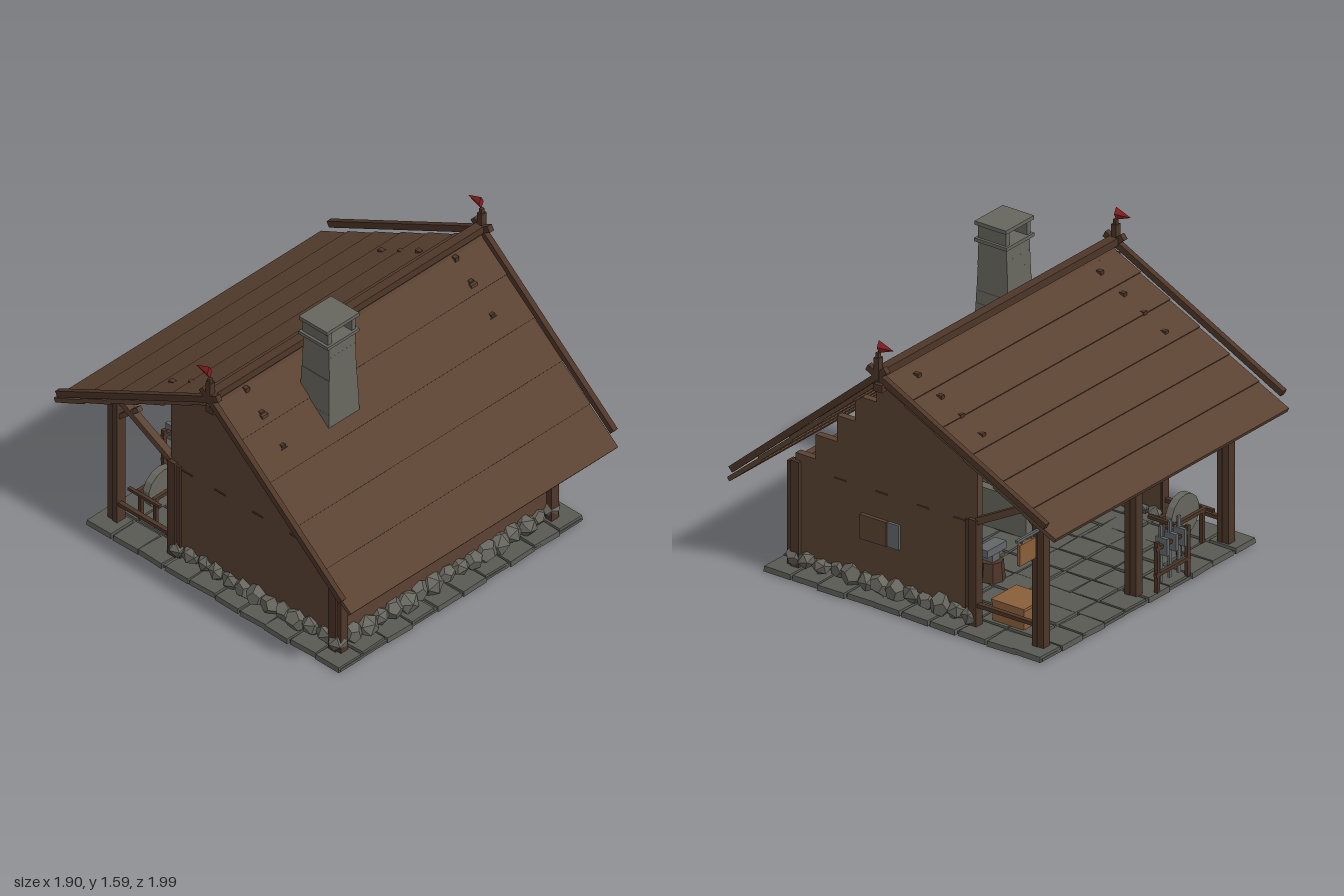
import * as THREE from 'three';

const paint = (name, color) => {
  const m = new THREE.MeshStandardMaterial({ color, flatShading: true });
  m.name = name;
  return m;
};

export function createModel() {
  const model = new THREE.Group();
  model.name = 'workshopHut';
  const wood = paint('brown wood', 0x5a4232);
  const darkWood = paint('dark wood', 0x4d3628);
  const tan = paint('tan wood', 0x8a5f3a);
  const stone = paint('grey stone', 0x67665e);
  const slate = paint('floor stone', 0x5a5a54);
  const iron = paint('iron', 0x62676a);
  const red = paint('red', 0x8c1f24);

  let seed = 7;
  const rnd = () => (seed = (seed * 16807) % 2147483647) / 2147483647;
  const jit = a => (rnd() - 0.5) * 2 * a;

  const add = (name, geo, mat, x, y, z) => {
    const m = new THREE.Mesh(geo, mat);
    m.name = name;
    m.position.set(x, y, z);
    model.add(m);
    return m;
  };
  const box = (name, mat, w, h, d, x, y, z) =>
    add(name, new THREE.BoxGeometry(w, h, d), mat, x, y, z);
  // straight timber between two points
  const beam = (name, mat, p, q, w, h) => {
    const a = new THREE.Vector3(...p), b = new THREE.Vector3(...q);
    const c = a.clone().add(b).multiplyScalar(0.5);
    const m = box(name, mat, w, h, a.distanceTo(b), c.x, c.y, c.z);
    m.lookAt(b);
    return m;
  };

  // paved floor
  box('floorBed', slate, 1.66, 0.014, 1.68, 0, 0.011, 0);
  const n = 10, step = 1.69 / n;
  for (let i = 0; i < n; i++) for (let j = 0; j < n; j++) {
    const g = new THREE.CylinderGeometry(0.68, 0.707, 0.028, 4);
    g.rotateY(Math.PI / 4);
    const t = add('floorTile', g, slate,
      (i - n / 2 + 0.5) * step + jit(0.006), 0.016 + jit(0.002), (j - n / 2 + 0.5) * step + jit(0.008));
    t.scale.set(step * (0.96 + jit(0.05)), 1, step * (0.96 + jit(0.05)));
    t.rotation.y = jit(0.05);
  }

  // rough foundation stones along three walls
  const rock = (x, z) => {
    const r = 0.056 + jit(0.009);
    const g = rnd() > 0.5 ? new THREE.DodecahedronGeometry(r) : new THREE.IcosahedronGeometry(r);
    const m = add('foundationStone', g, stone, x, 0.078 + jit(0.008), z);
    m.rotation.set(rnd() * 6, rnd() * 6, rnd() * 6);
    m.scale.set(1.1, 0.95, 1.1);
  };
  for (let i = 0; i < 17; i++) rock(-0.73 + i * 1.46 / 16, 0.73 + jit(0.012));
  for (const s of [-1, 1])
    for (let i = 0; i < 12; i++) rock(s * (0.73 + jit(0.012)), 0.65 - i * 0.09);

  // side walls with stepped gable, shape coordinates are (z, y)
  const gable = [[-0.38, 0.1], [-0.38, 1.0], [0.02, 1.21], [0.07, 1.24], [0.12, 1.17], [0.23, 1.17],
    [0.23, 1.04], [0.36, 1.04], [0.36, 0.9], [0.47, 0.9], [0.47, 0.76], [0.6, 0.76],
    [0.6, 0.63], [0.72, 0.63], [0.72, 0.1]];
  const gableShape = new THREE.Shape(gable.map(p => new THREE.Vector2(...p)));
  const wallGeo = new THREE.ExtrudeGeometry(gableShape, { depth: 0.04, bevelEnabled: false });
  wallGeo.rotateY(-Math.PI / 2);
  for (const s of [-1, 1]) {
    add('sideWall', wallGeo, wood, s * 0.72 + 0.02, 0, 0);
    for (const z of [0.45, 0.2, -0.05, -0.27])
      box('wallSeam', darkWood, 0.006, 0.007, 0.07, s * 0.742, 0.565, z);
  }
  box('frontWall', wood, 1.44, 0.5, 0.04, 0, 0.35, 0.71);

  // sliding shutter on the left wall
  box('shutter', wood, 0.02, 0.13, 0.16, 0.755, 0.365, 0.235);
  box('windowPane', iron, 0.014, 0.13, 0.07, 0.751, 0.365, 0.118);

  // corner posts made of paired timbers, and porch frame
  for (const s of [-1, 1]) {
    for (const z of [0.725, -0.35]) {
      box('cornerPost', darkWood, 0.05, 0.565, 0.05, s * 0.735, 0.31, z - 0.012);
      box('cornerPost', darkWood, 0.05, 0.55, 0.04, s * 0.725, 0.305, z + 0.02);
    }
    beam('porchSideBeam', wood, [s * 0.73, 0.585, -0.38], [s * 0.73, 0.78, -0.75], 0.04, 0.035);
    beam('kneeBrace', wood, [s * 0.73, 0.77, -0.6], [s * 0.73, 0.66, -0.73], 0.03, 0.025);
    beam('lowRail', darkWood, [s * 0.74, 0.14, -0.38], [s * 0.74, 0.14, -0.75], 0.025, 0.02);
    beam('rafter', darkWood, [s * 0.72, 1.225, 0.06], [s * 0.72, 0.73, -0.9], 0.04, 0.03);
  }
  for (const x of [-0.73, 0, 0.73]) {
    box('porchPost', darkWood, 0.05, 0.79, 0.05, x, 0.42, -0.765);
    box('porchPost', darkWood, 0.06, 0.77, 0.03, x, 0.41, -0.738);
  }
  box('eaveBeam', darkWood, 1.56, 0.045, 0.07, 0, 0.79, -0.755);
  box('ridgeBeam', darkWood, 1.88, 0.04, 0.05, 0, 1.235, 0.07);

  // plank roof: each course lies slightly proud of the one below
  const slope = (top, low, count) => {
    const at = (t, lift) => [0, top[1] + (low[1] - top[1]) * t + lift, top[0] + (low[0] - top[0]) * t];
    for (let i = 0; i < count; i++)
      beam('roofPlank', wood, at(i / count - (i ? 0.012 : 0), -0.004), at((i + 1) / count, 0.005), 1.84, 0.024);
  };
  slope([0.06, 1.28], [0.99, 0.472], 5);
  slope([0.09, 1.275], [-0.985, 0.717], 6);
  box('ridgeCap', darkWood, 1.88, 0.04, 0.05, 0, 1.315, 0.07);

  // barge boards crossing at the ridge, finials and pennants
  for (const s of [-1, 1]) {
    const x = s * 0.935;
    beam('bargeBoard', darkWood, [x, 1.345, 0.02], [x, 0.55, 0.955], 0.03, 0.034);
    beam('bargeBoard', darkWood, [x, 1.335, 0.13], [x, 0.795, -0.945], 0.03, 0.034);
    box('finial', darkWood, 0.035, 0.12, 0.03, x, 1.34, 0.07);
    box('finialTip', darkWood, 0.02, 0.04, 0.018, x, 1.405, 0.07);
    const flag = add('pennant', new THREE.ConeGeometry(0.034, 0.09, 4), red, x, 1.457, 0.022);
    flag.rotation.x = -Math.PI / 2;
    flag.scale.x = 0.5;
    // rafter pegs showing through the roof
    for (const [z, y] of [[0.1, 1.255], [0.2, 1.165], [0.34, 1.04], [0, 1.24], [-0.14, 1.165], [-0.26, 1.1], [-0.39, 1.035]])
      box('roofPeg', darkWood, 0.025, 0.03, 0.03, s * 0.72, y, z);
  }

  // chimney in stacked courses, with open cap
  const cx = -0.335, cz = 0.283;
  for (let i = 0; i < 19; i++) {
    const y = 1.455 - i * 0.066;
    const w = 0.182 + i * 0.0045;
    const c = add('chimneyCourse', new THREE.CylinderGeometry(0.69, 0.7071, 0.064, 4).rotateY(Math.PI / 4),
      stone, cx + jit(0.003), y, cz);
    c.scale.set(w + jit(0.004), 1.03, w - 0.008);
  }
  box('chimneyCollar', stone, 0.22, 0.018, 0.195, cx, 1.495, cz);
  for (const s of [-1, 1]) box('chimneyCapWall', stone, 0.027, 0.07, 0.17, cx + s * 0.082, 1.538, cz);
  box('chimneyCap', stone, 0.222, 0.02, 0.19, cx, 1.585, cz);
  box('hearth', stone, 0.34, 0.2, 0.4, cx, 0.13, 0.22);
  box('embers', red, 0.14, 0.1, 0.06, cx, 0.27, 0.05);

  // anvil on its stump
  add('stump', new THREE.CylinderGeometry(0.06, 0.07, 0.1, 8), darkWood, 0.28, 0.08, -0.11);
  box('anvilWaist', iron, 0.06, 0.04, 0.06, 0.28, 0.15, -0.11);
  box('anvilTop', iron, 0.15, 0.04, 0.07, 0.28, 0.19, -0.11);

  // crate
  box('crate', tan, 0.19, 0.1, 0.19, 0.555, 0.08, -0.495);
  box('crateLid', tan, 0.2, 0.015, 0.2, 0.555, 0.136, -0.495);

  // grindstone with frame
  const wheel = add('grindstone', new THREE.CylinderGeometry(0.11, 0.11, 0.04, 14), stone, -0.56, 0.2, -0.62);
  wheel.rotation.x = Math.PI / 2;
  for (const z of [-0.57, -0.67]) {
    for (const s of [-1, 1]) box('grindstoneLeg', darkWood, 0.02, 0.18, 0.02, -0.56 + s * 0.09, 0.115, z);
    box('grindstoneBar', darkWood, 0.22, 0.018, 0.02, -0.56, 0.2, z);
  }
  for (const s of [-1, 1])
    beam('grindstoneRail', darkWood, [-0.56 + s * 0.12, 0.2, -0.51], [-0.56 + s * 0.12, 0.2, -0.72], 0.018, 0.016);

  // tool rack with three blades
  for (const x of [-0.08, -0.32]) box('rackLeg', darkWood, 0.02, 0.27, 0.02, x, 0.16, -0.835);
  for (const y of [0.12, 0.26]) box('rackBar', darkWood, 0.27, 0.018, 0.02, -0.2, y, -0.835);
  for (const x of [-0.13, -0.2, -0.27]) {
    box('blade', iron, 0.02, 0.3, 0.012, x, 0.21, -0.82);
    box('bladeGuard', iron, 0.02, 0.09, 0.07, x, 0.255, -0.83);
  }

  // hanging sign on an iron bracket
  box('signBracket', iron, 0.19, 0.014, 0.014, 0.835, 0.655, -0.76);
  box('signBoard', tan, 0.125, 0.11, 0.018, 0.85, 0.575, -0.76);
  for (const x of [0.81, 0.89]) box('signHanger', iron, 0.008, 0.03, 0.008, x, 0.64, -0.76);

  return model;
}
